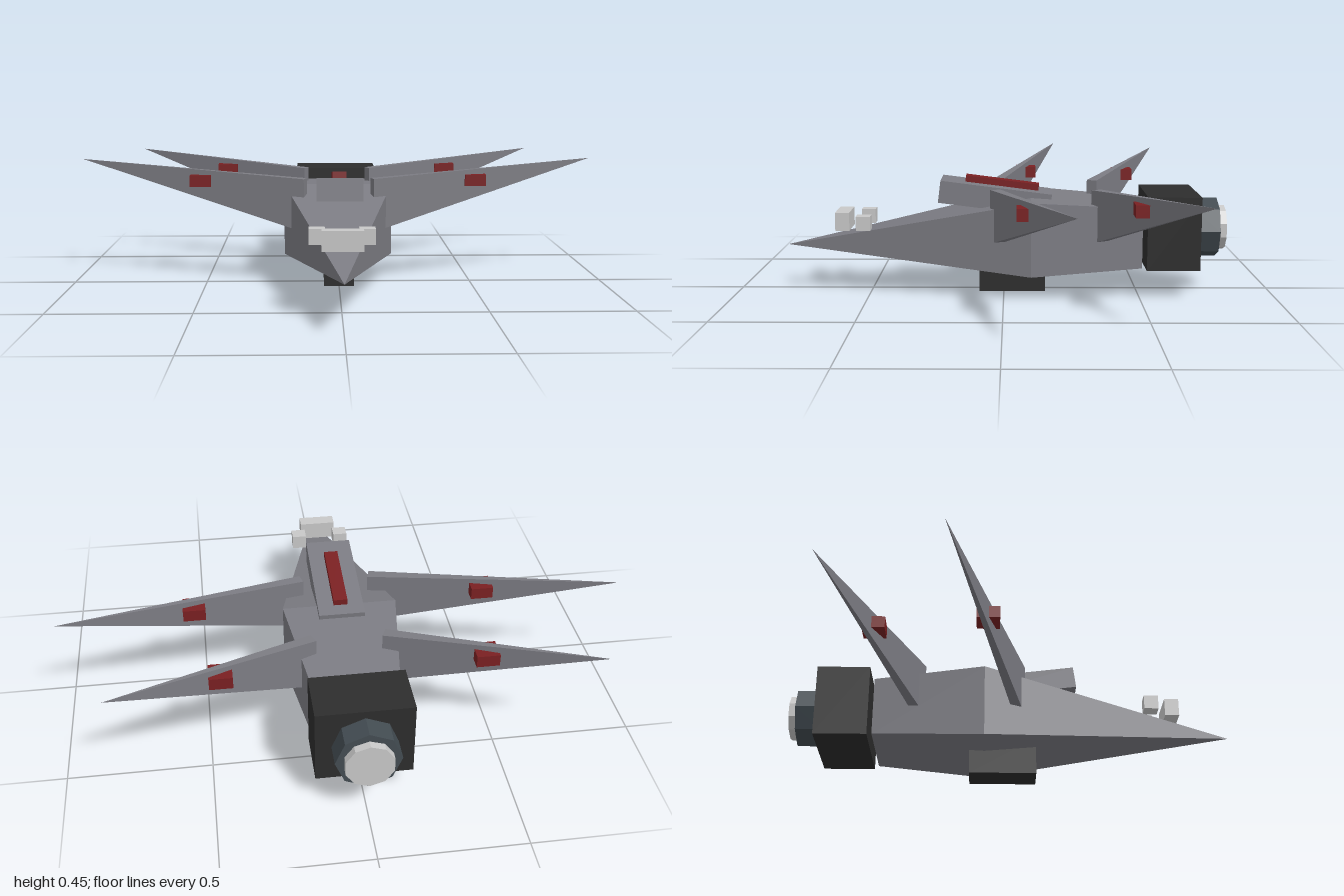
import * as THREE from 'three';

const mat = (name, color) => {
  const m = new THREE.MeshStandardMaterial({ color });
  m.name = name;
  return m;
};

export function createModel() {
  const grey = mat('hull grey', 0x7c7c83);
  const black = mat('charcoal', 0x2d2d2d);
  const slate = mat('slate', 0x434c52);
  const pale = mat('pale grey', 0xc8c8c8);
  const red = mat('dark red', 0x7a2022);

  const model = new THREE.Group();
  model.name = 'starfighter';

  const add = (name, geometry, material, x = 0, y = 0, z = 0) => {
    const mesh = new THREE.Mesh(geometry, material);
    mesh.name = name;
    mesh.position.set(x, y, z);
    model.add(mesh);
    return mesh;
  };
  const box = (name, material, size, pos) =>
    add(name, new THREE.BoxGeometry(...size), material, ...pos);

  // A box whose corners are moved by a rule: (sx, sy, sz) signs -> [x, y, z]
  const solid = (rule) => {
    const g = new THREE.BoxGeometry(2, 2, 2).toNonIndexed();
    const p = g.attributes.position;
    for (let i = 0; i < p.count; i++) {
      p.setXYZ(i, ...rule(Math.sign(p.getX(i)), Math.sign(p.getY(i)), Math.sign(p.getZ(i))));
    }
    g.computeVertexNormals();
    return g;
  };

  // Hull: pointed nose and tapering tail meeting at the widest section
  const mid = (sx, sy) => [sx * 0.207, sy > 0 ? 0.36 : 0.087, -0.1];
  add('nose', solid((sx, sy, sz) => (sz > 0 ? [0, 0.168, 0.82] : mid(sx, sy))), grey);
  add('tail', solid((sx, sy, sz) =>
    (sz > 0 ? mid(sx, sy) : [sx * 0.152, sy > 0 ? 0.332 : 0.11, -0.508])), grey);

  // Tilted cockpit block with a red strip on top
  const cockpit = box('cockpit', grey, [0.166, 0.083, 0.415], [0, 0.357, 0.033]);
  cockpit.rotation.x = -0.125;
  const strip = new THREE.Mesh(new THREE.BoxGeometry(0.05, 0.03, 0.275), red);
  strip.name = 'cockpitStrip';
  strip.position.set(0, 0.05, -0.02);
  cockpit.add(strip);

  // Belly pod
  box('bellyPod', black, [0.112, 0.14, 0.247], [0, 0.07, -0.032]);

  // Engine block and nozzles
  box('engineBlock', black, [0.33, 0.272, 0.195], [0, 0.239, -0.622]);
  const drum = (name, material, radius, sides, z0, z1) => {
    const g = new THREE.CylinderGeometry(radius, radius, z1 - z0, sides).rotateX(Math.PI / 2);
    const flat = g.toNonIndexed();
    flat.computeVertexNormals();
    add(name, flat, material, 0, 0.238, (z0 + z1) / 2);
  };
  drum('nozzle', slate, 0.111, 8, -0.8, -0.71);
  drum('exhaust', pale, 0.084, 10, -0.828, -0.79);

  // Floating sensor blocks above the nose
  box('sensorBar', pale, [0.138, 0.068, 0.053], [0, 0.267, 0.603]);

  // Spike wings: vertical root edge, single point at the tip
  const wing = (side, root, tip) => solid((sx, sy, sz) => {
    if (sx === side) return [side * tip[0], 0.447, tip[1]];
    const dx = tip[0] - root[0], dz = tip[1] - root[1];
    const k = sz * 0.02 / Math.hypot(dx, dz);
    return [side * (root[0] - dz * k), sy > 0 ? 0.397 : 0.197, root[1] + dx * k];
  });

  for (const side of [1, -1]) {
    const label = side > 0 ? 'left' : 'right';
    add(label + 'FrontWing', wing(side, [0.125, 0.03], [1, -0.22]), grey);
    add(label + 'RearWing', wing(side, [0.123, -0.338], [0.825, -0.648]), grey);
    box(label + 'FrontWingPod', red, [0.08, 0.043, 0.08], [side * 0.525, 0.379, -0.087]);
    box(label + 'RearWingPod', red, [0.08, 0.043, 0.08], [side * 0.45, 0.379, -0.483]);
    box(label + 'Sensor', pale, [0.054, 0.053, 0.053], [side * 0.084, 0.267, 0.52]);
  }

  return model;
}
